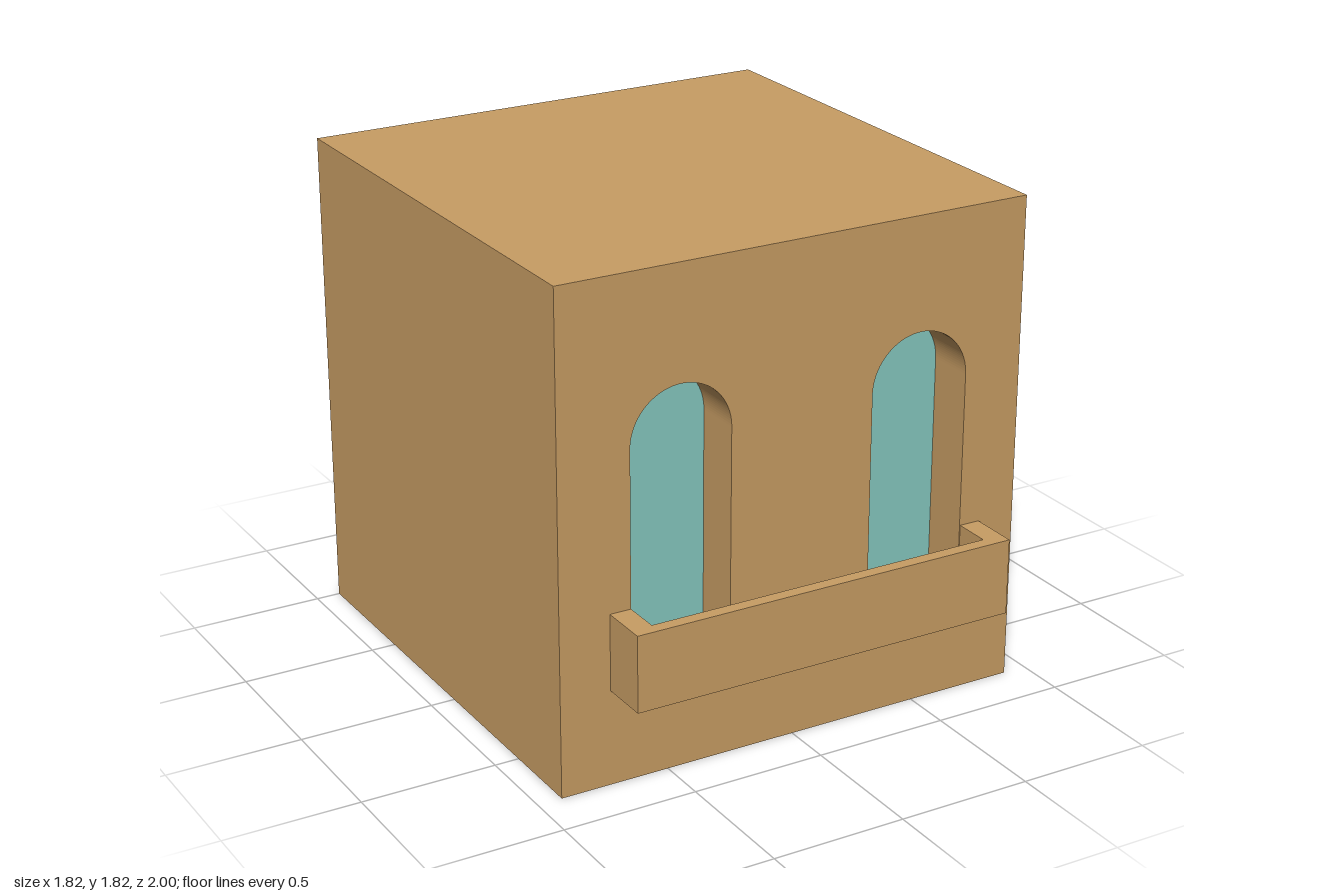
import * as THREE from 'three';
import { mergeGeometries } from 'three/addons/utils/BufferGeometryUtils.js';

const WIDTH = 1.82, HEIGHT = 1.82, BACK = -1, FRONT = 0.815;
const RECESS = 0.18, SILL = 0.42, SPRING = 1.21, RADIUS = 0.192;
const WINDOWS = [-0.448, 0.492];

// Round-topped opening, running counter-clockwise
function archOutline(PathType, x) {
  const p = new PathType();
  p.moveTo(x - RADIUS, SILL);
  p.lineTo(x + RADIUS, SILL);
  p.lineTo(x + RADIUS, SPRING);
  p.absarc(x, SPRING, RADIUS, 0, Math.PI, false);
  p.closePath();
  return p;
}

// Inward-facing sides of a window recess
function revealGeometry(x) {
  const pts = archOutline(THREE.Path, x).getPoints(32);
  const pos = [];
  for (let i = 0; i < pts.length - 1; i++) {
    const a = pts[i], b = pts[i + 1];
    if (a.distanceTo(b) < 1e-6) continue;
    const a0 = [a.x, a.y, FRONT - RECESS], a1 = [a.x, a.y, FRONT];
    const b0 = [b.x, b.y, FRONT - RECESS], b1 = [b.x, b.y, FRONT];
    pos.push(...a0, ...a1, ...b1, ...a0, ...b1, ...b0);
  }
  const g = new THREE.BufferGeometry();
  g.setAttribute('position', new THREE.Float32BufferAttribute(pos, 3));
  g.computeVertexNormals();
  return g;
}

// Block with an open front, closed by a wall pierced by the windows
function houseGeometry() {
  const box = new THREE.BoxGeometry(WIDTH, HEIGHT, FRONT - BACK);
  box.translate(0, HEIGHT / 2, (FRONT + BACK) / 2);
  const index = Array.from(box.index.array);
  index.splice(24, 6); // the +z face
  box.setIndex(index);
  box.clearGroups();

  const wall = new THREE.Shape();
  wall.moveTo(-WIDTH / 2, 0);
  wall.lineTo(WIDTH / 2, 0);
  wall.lineTo(WIDTH / 2, HEIGHT);
  wall.lineTo(-WIDTH / 2, HEIGHT);
  wall.closePath();
  WINDOWS.forEach(x => wall.holes.push(archOutline(THREE.Path, x)));
  const front = new THREE.ShapeGeometry(wall, 32).translate(0, 0, FRONT);

  const shells = [box, front].map(g => g.toNonIndexed().deleteAttribute('uv'));
  return mergeGeometries([...shells, ...WINDOWS.map(revealGeometry)]);
}

export function createModel() {
  const group = new THREE.Group();
  const stone = new THREE.MeshStandardMaterial({ color: 0xc89d64 });
  const glass = new THREE.MeshStandardMaterial({ color: 0x86c8c0 });
  const add = (name, geometry, material) => {
    const mesh = new THREE.Mesh(geometry, material);
    mesh.name = name;
    group.add(mesh);
    return mesh;
  };

  add('house', houseGeometry(), stone);

  // Window panes at the back of the recesses
  WINDOWS.forEach((x, i) => {
    const pane = new THREE.ShapeGeometry(archOutline(THREE.Shape, x), 32);
    pane.translate(0, 0, FRONT - RECESS);
    add(i ? 'leftWindowPane' : 'rightWindowPane', pane, glass);
  });

  // Balcony parapet: a U-shaped plan extruded upwards
  const [x0, x1, in0, in1] = [-0.72, 0.765, -0.64, 0.687];
  const base = 0.355, rim = 0.638, inFront = 0.953;
  const plan = new THREE.Shape([
    [x0, FRONT], [in0, FRONT], [in0, inFront], [in1, inFront],
    [in1, FRONT], [x1, FRONT], [x1, 1], [x0, 1],
  ].map(([x, z]) => new THREE.Vector2(x, -z)));
  const parapet = new THREE.ExtrudeGeometry(plan, { depth: rim - base, bevelEnabled: false });
  parapet.rotateX(-Math.PI / 2).translate(0, base, 0);
  add('balconyParapet', parapet, stone);

  // Balcony floor between the parapet walls
  const floor = new THREE.BoxGeometry(in1 - in0, SILL - base, inFront - FRONT);
  floor.translate((in0 + in1) / 2, (SILL + base) / 2, (inFront + FRONT) / 2);
  add('balconyFloor', floor, stone);

  return group;
}
